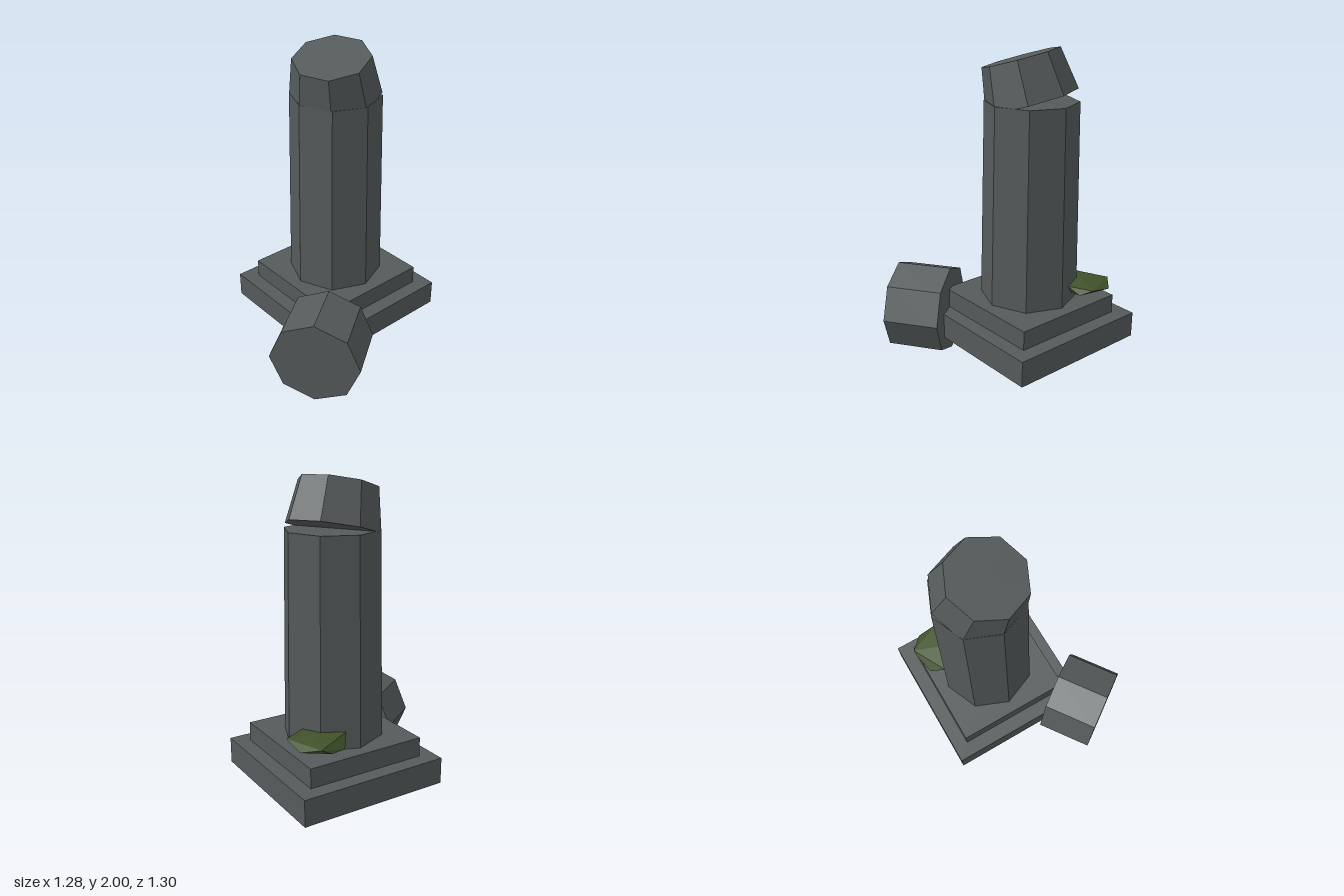
import * as THREE from 'three';
import { ConvexGeometry } from 'three/addons/geometries/ConvexGeometry.js';

export function createModel() {
  const model = new THREE.Group();
  model.name = 'ruinedColumn';

  const stone = new THREE.MeshStandardMaterial({ color: 0x555a5b });
  stone.name = 'stone';
  stone.flatShading = true;
  const moss = new THREE.MeshStandardMaterial({ color: 0x41522a });
  moss.name = 'moss';
  moss.flatShading = true;

  // Column axis
  const CX = -0.163, CZ = -0.172;

  function add(name, geometry, material, x, y, z) {
    const mesh = new THREE.Mesh(geometry, material);
    mesh.name = name;
    mesh.position.set(x, y, z);
    model.add(mesh);
    return mesh;
  }

  // Two-step square base
  add('basePlinth', new THREE.BoxGeometry(0.955, 0.165, 0.955), stone, CX, 0.231, CZ);
  add('baseStep', new THREE.BoxGeometry(0.765, 0.122, 0.765), stone, CX, 0.374, CZ);

  // Eight-sided tapering shaft
  add('shaft', new THREE.CylinderGeometry(0.287, 0.308, 1.25, 8), stone, CX, 1.06, CZ);

  // Broken top, tipped about the centre of the shaft's upper end
  const capGeometry = new THREE.CylinderGeometry(0.24, 0.286, 0.26, 8);
  capGeometry.translate(0, 0.13, 0);
  const cap = add('brokenTop', capGeometry, stone, CX, 1.688, CZ + 0.003);
  cap.rotation.set(0.235, -0.03, -0.138);

  // Fallen drum lying on its side
  const drumGeometry = new THREE.CylinderGeometry(0.288, 0.288, 0.36, 8);
  drumGeometry.rotateX(Math.PI / 2);
  const drum = add('fallenDrum', drumGeometry, stone, 0.298, 0.288, 0.338);
  drum.rotation.y = 0.61;

  // Flattened clump of moss at the back corner
  const clump = [
    [-0.56, 0.535, -0.49], [-0.325, 0.54, -0.585], [-0.255, 0.54, -0.435],
    [-0.44, 0.545, -0.255], [-0.27, 0.54, -0.27], [-0.39, 0.552, -0.42],
    [-0.475, 0.51, -0.58], [-0.275, 0.5, -0.52], [-0.525, 0.485, -0.315],
    [-0.555, 0.495, -0.42], [-0.41, 0.455, -0.47], [-0.32, 0.46, -0.26],
  ].map((p) => new THREE.Vector3(...p));
  add('mossClump', new ConvexGeometry(clump), moss, 0, 0, 0);

  return model;
}
